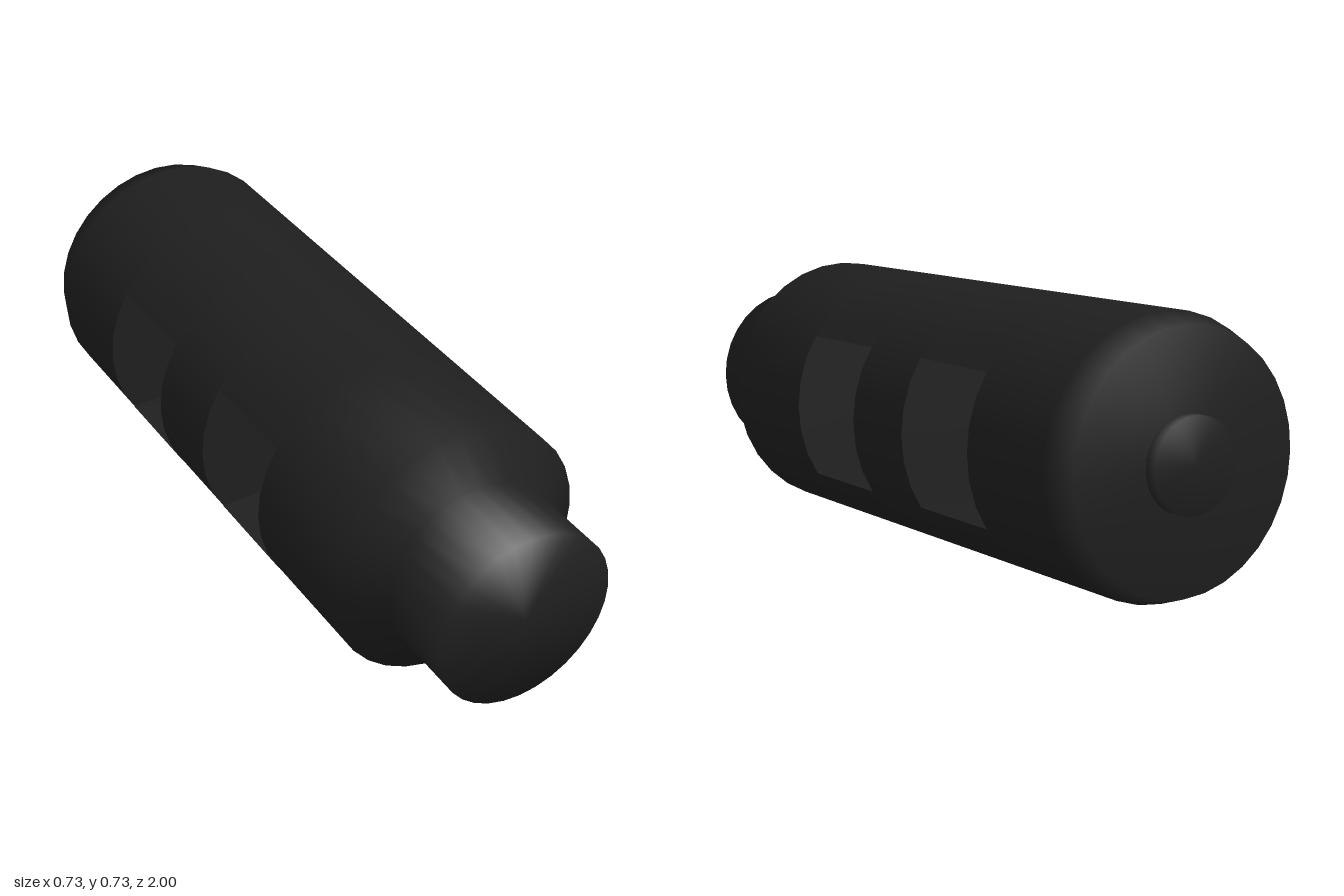
import * as THREE from 'three';
import { toCreasedNormals } from 'three/addons/utils/BufferGeometryUtils.js';

const SIDES = 32, RADIUS = 0.365, SLOT = 0.199; // SLOT: half height of the side ports

export function createModel() {
  const model = new THREE.Group();
  model.name = 'muzzleBrake';
  const black = new THREE.MeshStandardMaterial({ color: 0x1f1f1f });
  black.name = 'blackSteel';

  const add = (name, geometry) => {
    const mesh = new THREE.Mesh(geometry, black);
    mesh.name = name;
    mesh.position.y = RADIUS;
    model.add(mesh);
    return mesh;
  };

  // Smooth turned part: [radius, z] pairs from back to front
  const turned = (name, profile) => add(name, new THREE.LatheGeometry(
    profile.map(([r, z]) => new THREE.Vector2(r, z)), SIDES).rotateX(Math.PI / 2));

  // Flat wall closing a section where a port begins
  const wall = (name, z, facing) => {
    const geometry = new THREE.CircleGeometry(RADIUS, SIDES);
    if (facing < 0) geometry.rotateY(Math.PI);
    add(name, geometry.translate(0, 0, z));
  };

  // Front collar with sloped shoulder
  turned('frontSection', [[RADIUS, 0.31], [RADIUS, 0.69], [0.253, 0.77], [0.253, 1], [0, 1]]);
  wall('frontPortWall', 0.31, -1);

  // Solid web between the two ports
  const web = new THREE.CylinderGeometry(RADIUS, RADIUS, 0.25, SIDES);
  add('middleWeb', web.rotateX(Math.PI / 2).translate(0, 0, -0.125));

  // Rear section with rounded-off rim, and the small rear plug
  turned('rearSection', [[0, -0.965], [0.335, -0.965], [RADIUS, -0.88], [RADIUS, -0.56]]);
  wall('rearPortWall', -0.56, 1);
  turned('rearPlug', [[0, -1], [0.124, -1], [0.124, -0.96]]);

  // Circular segments above and below each port, matching the body's facets
  const edgeX = 0.307;
  const points = [new THREE.Vector2(edgeX, SLOT)];
  for (let i = 4; i <= 12; i++) {
    const a = i * 2 * Math.PI / SIDES;
    points.push(new THREE.Vector2(RADIUS * Math.cos(a), RADIUS * Math.sin(a)));
  }
  points.push(new THREE.Vector2(-edgeX, SLOT));
  const segment = new THREE.Shape(points);
  for (const [port, z] of [['front', 0], ['rear', -0.56]]) {
    for (const [side, turn] of [['Top', 0], ['Bottom', Math.PI]]) {
      const bridge = new THREE.ExtrudeGeometry(segment, { depth: 0.31, bevelEnabled: false });
      bridge.rotateZ(turn).translate(0, 0, z);
      add(`${port}Port${side}Bridge`, toCreasedNormals(bridge, 0.4));
    }
  }
  return model;
}
